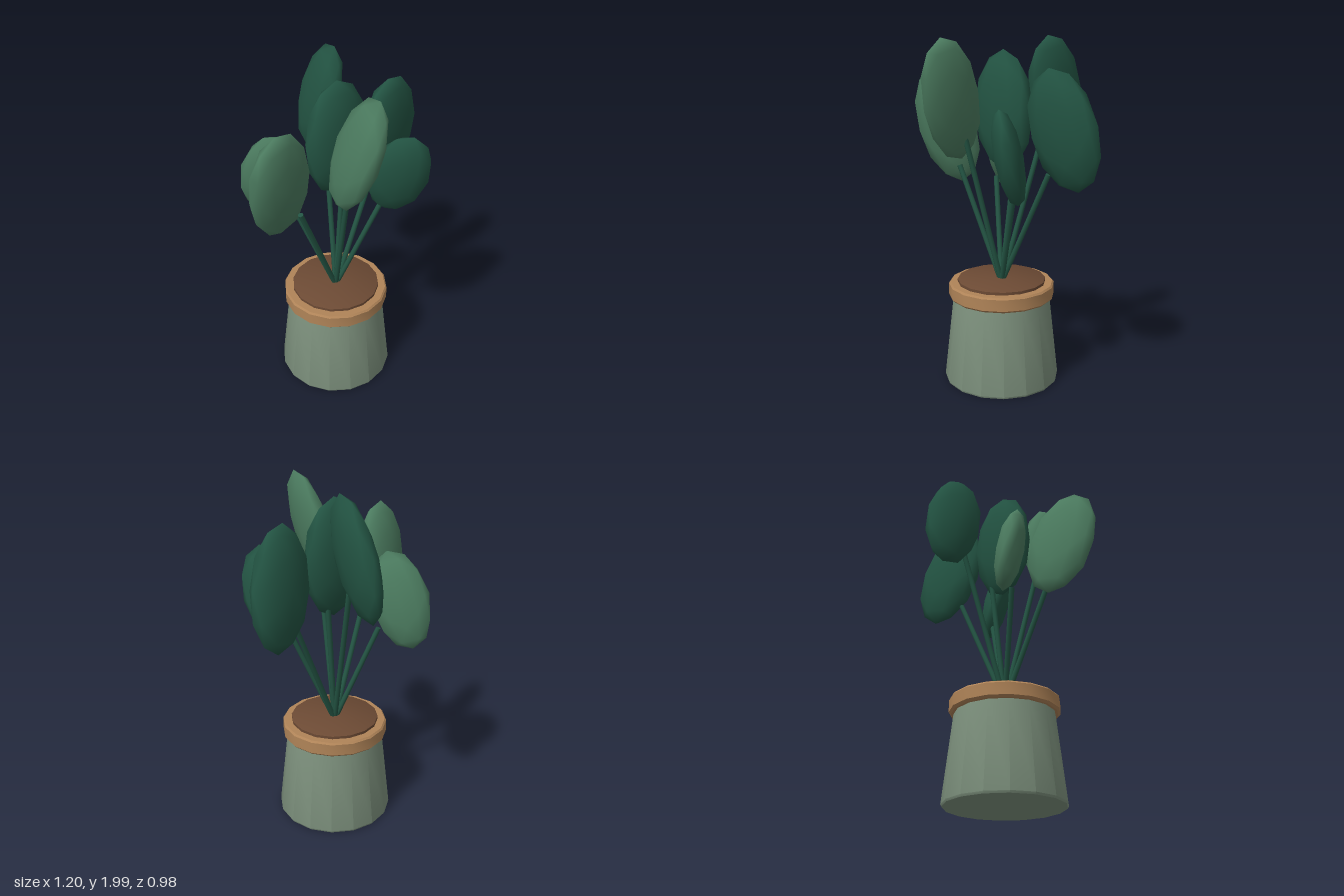
import * as THREE from 'three';
import { toCreasedNormals } from 'three/addons/utils/BufferGeometryUtils.js';

const material = (name, color) => {
  const m = new THREE.MeshStandardMaterial({ color });
  m.name = name;
  return m;
};

export function createModel() {
  const sage = material('sagePot', 0x7f937f);
  const clay = material('clayRim', 0xb08458);
  const earth = material('soilBrown', 0x6c4a34);
  const dark = material('darkGreen', 0x235443);
  const light = material('lightGreen', 0x4c7c60);

  const model = new THREE.Group();
  model.name = 'pottedPlant';
  const add = (name, geometry, mat) => {
    const mesh = new THREE.Mesh(geometry, mat);
    mesh.name = name;
    model.add(mesh);
    return mesh;
  };

  // Pot, rim and soil are turned around a slightly off-centre axis
  const axis = new THREE.Vector3(-0.01, 0, 0.01);
  const turned = (name, profile, mat) => {
    const points = profile.map(([r, y]) => new THREE.Vector2(r, y));
    const geometry = toCreasedNormals(new THREE.LatheGeometry(points, 16), 0.6);
    add(name, geometry, mat).position.copy(axis);
  };
  turned('pot', [[0, 0], [0.33, 0], [0.336, 0.012], [0.28, 0.51], [0, 0.51]], sage);
  turned('rim', [[0.27, 0.503], [0.295, 0.503], [0.307, 0.515], [0.307, 0.582], [0.298, 0.592], [0, 0.592]], clay);
  turned('soil', [[0.256, 0.58], [0.256, 0.608], [0.25, 0.612], [0, 0.612]], earth);

  // Leaf: centre, half sizes (width, height, thickness), outward direction [x, z],
  // outward tilt, sideways roll, and the tip of its stem
  const leaves = [
    { name: 'centre', mat: dark, at: [0, 1.585, 0.005], size: [0.2, 0.335, 0.093], out: [1, 0], tilt: 0, roll: 0, tip: [0.065, 1.32, -0.02] },
    { name: 'left', mat: dark, at: [0.4, 1.505, -0.03], size: [0.205, 0.34, 0.092], out: [1, -0.18], tilt: -0.22, roll: 0.12, tip: [0.3, 1.26, -0.03] },
    { name: 'back', mat: dark, at: [0.12, 1.665, -0.3], size: [0.178, 0.345, 0.085], out: [0.22, -1], tilt: -0.28, roll: 0.14, tip: [0.1, 1.46, -0.225] },
    { name: 'frontLeft', mat: dark, at: [0.25, 1.375, 0.235], size: [0.165, 0.28, 0.078], out: [0.7, 0.72], tilt: 0.26, roll: 0.2, tip: [0.22, 1.2, 0.155] },
    { name: 'front', mat: light, at: [-0.105, 1.655, 0.3], size: [0.175, 0.355, 0.08], out: [-0.17, 1], tilt: 0.3, roll: -0.18, tip: [-0.085, 1.45, 0.22] },
    { name: 'right', mat: light, at: [-0.405, 1.47, 0.052], size: [0.205, 0.345, 0.088], out: [-1, 0.2], tilt: 0.2, roll: -0.15, tip: [-0.29, 1.25, 0.065] },
    { name: 'backRight', mat: light, at: [-0.27, 1.34, -0.245], size: [0.165, 0.285, 0.078], out: [-0.65, -0.75], tilt: -0.3, roll: -0.16, tip: [-0.2, 1.165, -0.15] },
  ];

  const leafShape = new THREE.IcosahedronGeometry(1, 1);
  const root = new THREE.Vector3(axis.x, 0.58, axis.z);
  const up = new THREE.Vector3(0, 1, 0);

  for (const { name, mat, at, size, out, tilt, roll, tip } of leaves) {
    const blade = add(name + 'Leaf', leafShape, mat);
    blade.position.set(...at);
    blade.scale.set(...size);
    blade.rotation.set(roll, Math.atan2(-out[1], out[0]), -tilt, 'YXZ');

    // Straight stem from the soil to the leaf
    const path = new THREE.Vector3(...tip).sub(root);
    const stem = add(name + 'Stem', new THREE.CylinderGeometry(0.015, 0.015, path.length(), 8), dark);
    stem.position.copy(root).addScaledVector(path, 0.5);
    stem.quaternion.setFromUnitVectors(up, path.normalize());
  }
  return model;
}
